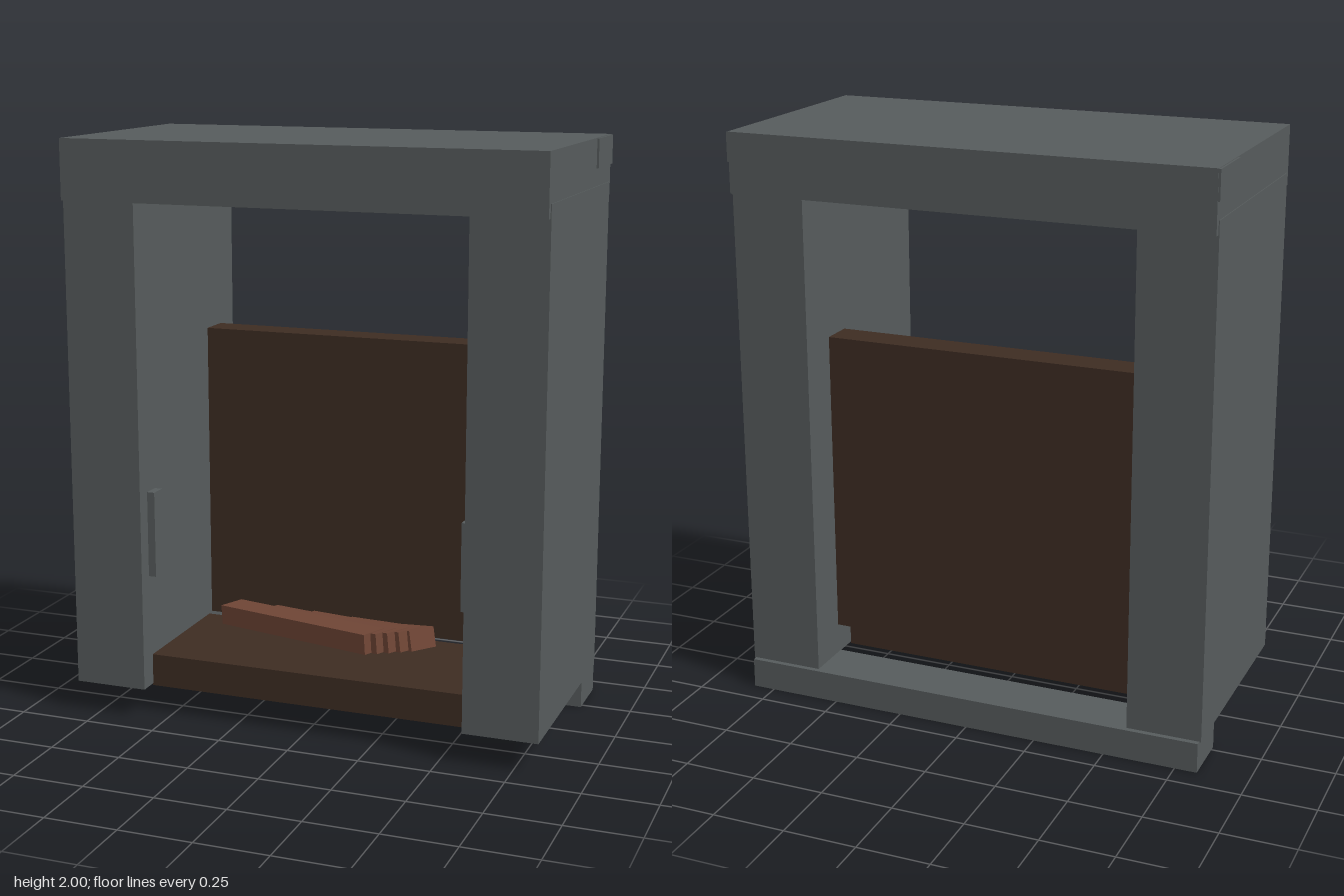
import * as THREE from 'three';

const material = (name, color) => {
  const m = new THREE.MeshStandardMaterial({ color });
  m.name = name;
  return m;
};

export function createModel() {
  const stone = material('stone', 0x565b5c);
  const soot = material('sooty brown', 0x3d2c22);
  const wood = material('wood', 0x704636);

  const model = new THREE.Group();
  model.name = 'fireplace';

  // Box given by its extents on each axis
  const block = (name, mat, [x0, x1], [y0, y1], [z0, z1]) => {
    const mesh = new THREE.Mesh(new THREE.BoxGeometry(x1 - x0, y1 - y0, z1 - z0), mat);
    mesh.position.set((x0 + x1) / 2, (y0 + y1) / 2, (z0 + z1) / 2);
    mesh.name = name;
    model.add(mesh);
  };

  // Mantel and the slightly wider beam along its back
  block('mantel', stone, [-0.83, 0.83], [1.795, 2], [-0.42, 0.42]);
  block('rearTopBeam', stone, [-0.837, 0.837], [1.9, 1.998], [-0.418, -0.21]);

  // Beam under the back of the pillars
  block('rearBottomBeam', stone, [-0.827, 0.827], [0, 0.105], [-0.418, -0.23]);

  // Pillars with a small plate on each inner face
  for (const [side, s] of [['left', 1], ['right', -1]]) {
    const span = (a, b) => (s > 0 ? [a, b] : [-b, -a]);
    block(side + 'Pillar', stone, span(0.575, 0.833), [0.103, 1.84], [-0.4, 0.4]);
    block(side + 'InnerPlate', stone, span(0.548, 0.58), [0.5, 0.8], [0.285, 0.345]);
  }

  // Hearth and back panel
  block('hearth', soot, [-0.576, 0.576], [0.096, 0.21], [-0.15, 0.33]);
  block('backPanel', soot, [-0.564, 0.564], [0.222, 1.292], [-0.265, -0.15]);

  // Fanned stack of logs, low at one end and raised at the other
  const logs = new THREE.Group();
  logs.name = 'logs';
  const count = 5;
  for (let i = 0; i < count; i++) {
    const t = i / (count - 1);
    const low = new THREE.Vector3(-0.46 + 0.6 * t, 0.247, -0.1 + 0.06 * t);
    const high = new THREE.Vector3(0.2 + 0.15 * t, 0.307 + 0.005 * t, 0.195 - 0.07 * t);
    const log = new THREE.Mesh(new THREE.BoxGeometry(0.1, 0.07, low.distanceTo(high)), wood);
    log.position.copy(low).lerp(high, 0.5);
    log.lookAt(high);
    log.name = 'log' + (i + 1);
    logs.add(log);
  }
  model.add(logs);

  return model;
}
